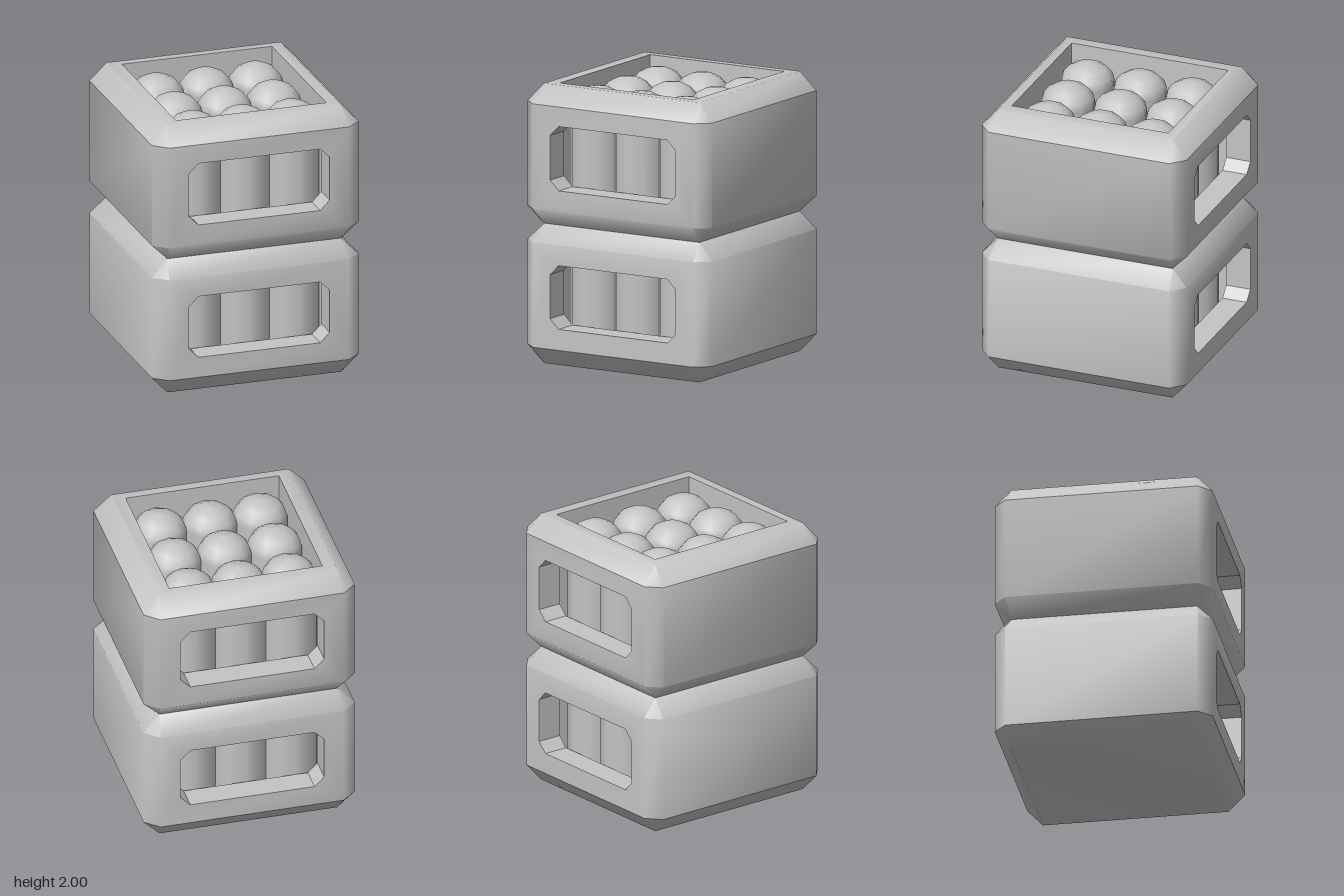
import * as THREE from 'three';
import { mergeGeometries, toCreasedNormals } from 'three/addons/utils/BufferGeometryUtils.js';

const HX = 0.765, HZ = 0.775, CX = 0.665, CZ = 0.685; // outer half sizes, corner cuts
const NX = 0.643, NZ = 0.66;                          // narrow rectangle of rim, waist, base
const IX = 0.555, IZ = 0.592;                         // cavity half sizes
const FLOOR = 0.13;

// Eight corners, running round from the front left; the narrow ring has sharp corners.
function ring(y, narrow) {
  const p = narrow
    ? [[-NX, NZ], [NX, NZ], [NX, NZ], [NX, -NZ], [NX, -NZ], [-NX, -NZ], [-NX, -NZ], [-NX, NZ]]
    : [[-CX, HZ], [CX, HZ], [HX, CZ], [HX, -CZ], [CX, -HZ], [-CX, -HZ], [-HX, -CZ], [-HX, CZ]];
  return p.map(([x, z]) => new THREE.Vector3(x, y, z));
}

function fromTriangles(tris) {
  const g = new THREE.BufferGeometry();
  const solid = tris.filter((t) => new THREE.Triangle(...t).getArea() > 1e-6);
  g.setFromPoints(solid.flat());
  return g;
}

// Surface between two rings; skip lists the edges left open.
function band(low, high, skip = []) {
  const tris = [];
  for (let i = 0; i < low.length; i++) {
    if (skip.includes(i)) continue;
    const j = (i + 1) % low.length;
    tris.push([low[i], low[j], high[j]], [low[i], high[j], high[i]]);
  }
  return fromTriangles(tris);
}

function rectPoints(x, y0, y1) {
  return [[-x, y0], [x, y0], [x, y1], [-x, y1]].map((p) => new THREE.Vector2(...p));
}

// Flat panel with holes, facing +z, as bare triangles
function panel(points, holes = []) {
  const s = new THREE.Shape(points);
  holes.forEach((h) => s.holes.push(new THREE.Path(h)));
  const g = new THREE.ShapeGeometry(s).toNonIndexed();
  g.deleteAttribute('uv');
  g.deleteAttribute('normal');
  return g;
}

// Window outline with cut corners
function windowPoints(y0, y1) {
  const x = 0.52, c = 0.07;
  return [[-x + c, y0], [x - c, y0], [x, y0 + c], [x, y1 - c],
    [x - c, y1], [-x + c, y1], [-x, y1 - c], [-x, y0 + c]].map((p) => new THREE.Vector2(...p));
}

export function createModel() {
  const model = new THREE.Group();
  const grey = new THREE.MeshStandardMaterial({ color: 0xc4c4c4 });
  grey.name = 'plain grey';

  function add(name, parts, crease = 0.9) {
    const mesh = new THREE.Mesh(toCreasedNormals(mergeGeometries(parts), crease), grey);
    mesh.name = name;
    model.add(mesh);
  }

  const windows = [windowPoints(0.28, 0.735), windowPoints(1.27, 1.73)];
  const levels = [[FLOOR, 0.88], [1.12, 1.87]];

  // Outer walls: two storeys pinched at a waist, with windows front and back
  const walls = [
    band(ring(0.88), ring(1, true)),
    band(ring(1, true), ring(1.12)),
  ];
  levels.forEach(([y0, y1], i) => {
    walls.push(band(ring(y0), ring(y1), [0, 4]));
    for (const turn of [0, Math.PI]) {
      walls.push(panel(rectPoints(CX, y0, y1), [windows[i]]).translate(0, 0, HZ).rotateY(turn));
    }
  });
  add('outerWalls', walls);

  // Bevelled base and top rim
  add('base', [
    band(ring(0, true), ring(FLOOR)),
    panel(rectPoints(NX, -NZ, NZ)).rotateX(Math.PI / 2),
  ]);
  add('topRim', [
    band(ring(1.87), ring(2, true)),
    panel(rectPoints(NX, -NZ, NZ), [rectPoints(IX, -IZ, IZ)]).rotateX(-Math.PI / 2).translate(0, 2, 0),
  ]);

  // Window reveals through the wall thickness
  const reveals = [];
  for (const w of windows) {
    const outer = w.map((p) => new THREE.Vector3(p.x, p.y, HZ));
    const inner = w.map((p) => new THREE.Vector3(p.x, p.y, IZ));
    for (const turn of [0, Math.PI]) reveals.push(band(outer, inner).rotateY(turn));
  }
  add('windowReveals', reveals, 0.1);

  // Cavity: pierced front and back, plain sides, floor
  const cavity = [panel(rectPoints(IX, -IZ, IZ)).rotateX(-Math.PI / 2).translate(0, FLOOR, 0)];
  for (const turn of [0, Math.PI]) {
    cavity.push(
      panel(rectPoints(IX, FLOOR, 2), windows).translate(0, 0, -IZ).rotateY(turn),
      panel(rectPoints(IZ, FLOOR, 2)).translate(0, 0, -IX).rotateY(turn + Math.PI / 2),
    );
  }
  add('cavity', cavity, 0.1);

  // Three by three domed columns
  const R = 0.195, SHOULDER = 1.82, DOME = 0.15;
  const profile = [new THREE.Vector2(R, FLOOR)];
  for (let i = 0; i <= 4; i++) {
    const a = (i / 4) * Math.PI / 2;
    profile.push(new THREE.Vector2(Math.max(0, R * Math.cos(a)), SHOULDER + DOME * Math.sin(a)));
  }
  const columnGeometry = new THREE.LatheGeometry(profile, 10);
  const columns = new THREE.Group();
  columns.name = 'columns';
  for (let i = -1; i <= 1; i++) {
    for (let k = -1; k <= 1; k++) {
      const column = new THREE.Mesh(columnGeometry, grey);
      column.name = 'column';
      column.position.set(i * 0.365, 0, k * 0.395);
      columns.add(column);
    }
  }
  model.add(columns);
  return model;
}
